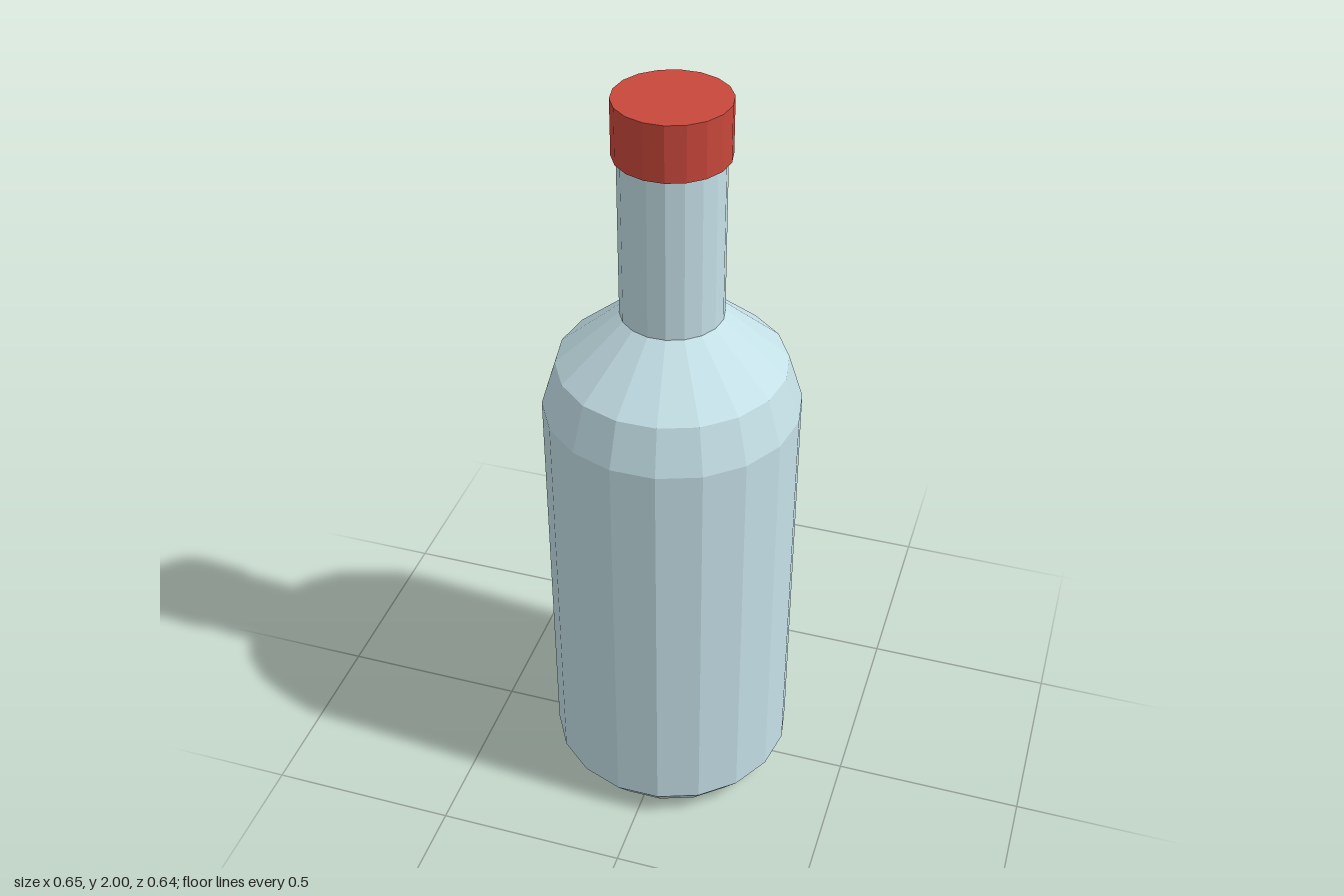
import * as THREE from 'three';

const SIDES = 18;
const TURN = Math.PI / SIDES; // half a facet, so a flat side faces the front

// Faceted solid of revolution from [radius, height] pairs, bottom to top
function turned(name, profile, color) {
  const points = profile.map(([r, y]) => new THREE.Vector2(r, y));
  const mesh = new THREE.Mesh(
    new THREE.LatheGeometry(points, SIDES, TURN),
    new THREE.MeshStandardMaterial({ color, flatShading: true })
  );
  mesh.name = name;
  return mesh;
}

export function createModel() {
  const bottle = new THREE.Group();
  bottle.name = 'bottle';

  // Glass: base, chamfer, straight wall, two-step shoulder, neck
  bottle.add(turned('glassBody', [
    [0, 0], [0.27, 0], [0.325, 0.07], [0.325, 1.18],
    [0.288, 1.3], [0.128, 1.44], [0.128, 1.87],
  ], 0xc4e0e7));

  // Cap: closed cylinder over the neck
  bottle.add(turned('cap', [
    [0, 1.86], [0.14, 1.86], [0.14, 2], [0, 2],
  ], 0xc8473b));

  return bottle;
}
